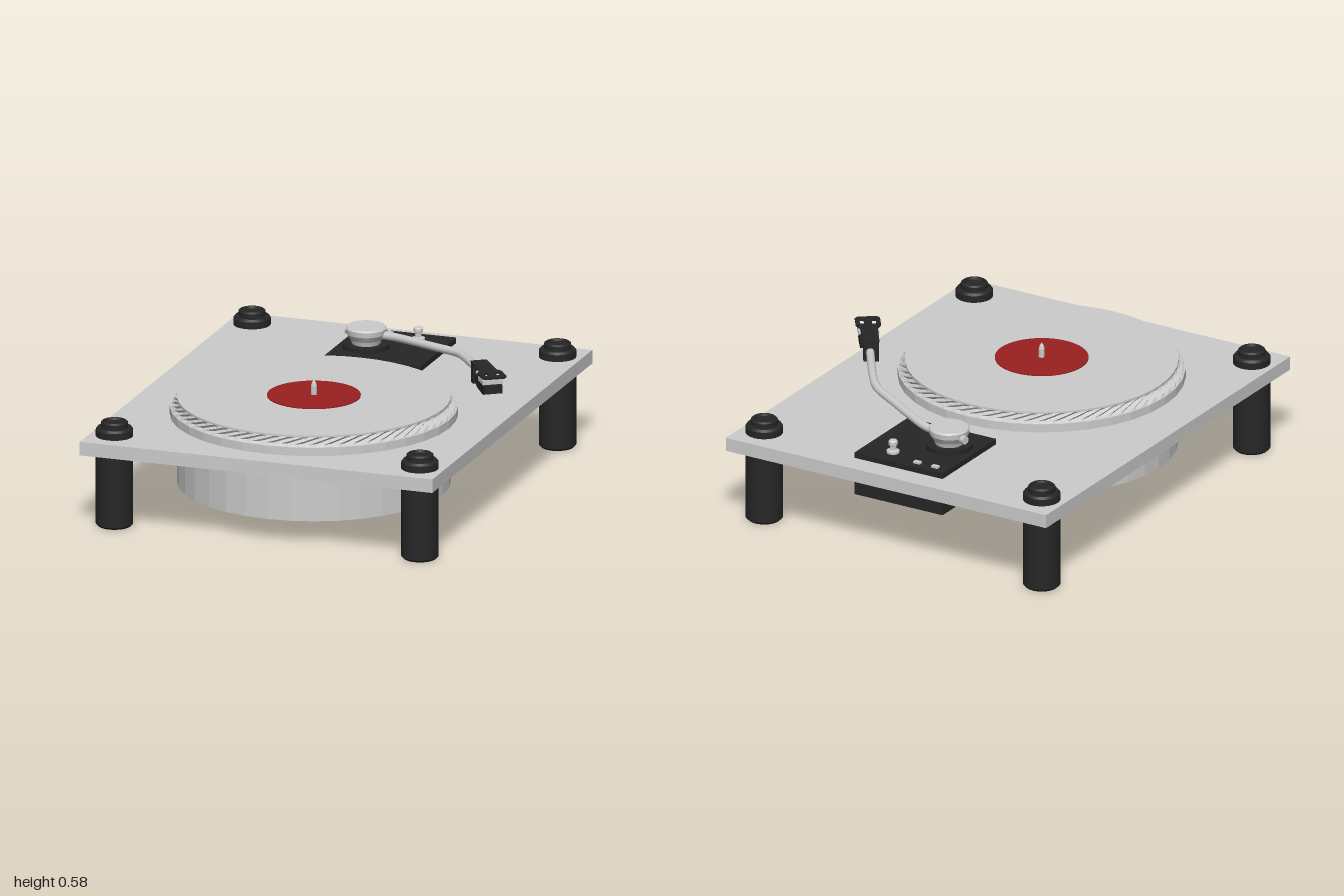
import * as THREE from 'three';

const grey = new THREE.MeshStandardMaterial({ color: 0xcccccc });
const greyFlat = new THREE.MeshStandardMaterial({ color: 0xcccccc, flatShading: true });
const black = new THREE.MeshStandardMaterial({ color: 0x262626 });
const red = new THREE.MeshStandardMaterial({ color: 0x9a2020 });

function add(parent, name, geometry, material, x = 0, y = 0, z = 0) {
  const mesh = new THREE.Mesh(geometry, material);
  mesh.name = name;
  mesh.position.set(x, y, z);
  parent.add(mesh);
  return mesh;
}

function group(parent, name, x = 0, y = 0, z = 0) {
  const g = new THREE.Group();
  g.name = name;
  g.position.set(x, y, z);
  parent.add(g);
  return g;
}

// Upright cylinder between two heights
function disc(parent, name, r, y0, y1, material, segments = 32, x = 0, z = 0, rTop = r) {
  return add(parent, name, new THREE.CylinderGeometry(rTop, r, y1 - y0, segments), material, x, (y0 + y1) / 2, z);
}

// Turned part; doubled corner points keep its edges sharp
function turned(parent, name, points, material, segments = 32) {
  const profile = [];
  points.forEach(([r, y]) => profile.push(new THREE.Vector2(r, y), new THREE.Vector2(r, y)));
  return add(parent, name, new THREE.LatheGeometry(profile, segments), material);
}

// Sloping rim whose vertices step in and out to form a diamond knurl
function knurledRim(rBottom, rTop, y0, y1) {
  const rows = 4, cols = 120;
  const geo = new THREE.CylinderGeometry(rTop, rBottom, y1 - y0, cols, rows, true);
  const p = geo.attributes.position;
  for (let i = 0; i < p.count; i++) {
    const row = Math.floor(i / (cols + 1)), col = i % (cols + 1);
    if (row === 0 || row === rows || (row + col) % 2) continue;
    const r = Math.hypot(p.getX(i), p.getZ(i)), k = (r - 0.012) / r;
    p.setX(i, p.getX(i) * k);
    p.setZ(i, p.getZ(i) * k);
  }
  return geo.translate(0, (y0 + y1) / 2, 0);
}

function addLegs(model) {
  for (const sx of [-1, 1]) for (const sz of [-1, 1]) {
    const leg = group(model, 'leg', sx * 0.693, 0, sz * 0.86);
    turned(leg, 'legPost', [[0, 0], [0.07, 0], [0.08, 0.01], [0.08, 0.34]], black);
    turned(leg, 'legCap', [[0.08, 0.40], [0.08, 0.43], [0.072, 0.44], [0.058, 0.44], [0.058, 0.46],
      [0.052, 0.466], [0.046, 0.466], [0.042, 0.456], [0, 0.456]], black);
  }
}

function addPlatter(model) {
  const platter = group(model, 'platter', 0, 0, 0.276);
  disc(platter, 'motorHousing', 0.585, 0.10, 0.32, greyFlat, 36);
  disc(platter, 'bearingRing', 0.615, 0.31, 0.437, greyFlat, 36);
  add(platter, 'knurledRim', knurledRim(0.608, 0.588, 0.437, 0.475), greyFlat);
  disc(platter, 'record', 0.585, 0.470, 0.482, grey, 48);
  disc(platter, 'label', 0.2, 0.480, 0.487, red, 48);
  turned(platter, 'spindle', [[0.013, 0.48], [0.013, 0.525], [0.009, 0.54], [0, 0.552]], grey, 16);
}

function addBase(model) {
  const base = group(model, 'tonearmBase');
  add(base, 'baseBox', new THREE.BoxGeometry(0.44, 0.193, 0.44), black, 0, 0.328, -0.677);
  for (const x of [0.14, -0.04]) {
    const rod = add(base, 'connectorRod', new THREE.CylinderGeometry(0.03, 0.03, 0.19, 20), black, x, 0.268, -0.365);
    rod.rotation.x = Math.PI / 2;
  }
  for (const x of [-0.16, -0.07]) {
    add(base, 'switch', new THREE.BoxGeometry(0.032, 0.012, 0.02), grey, x, 0.428, -0.855);
  }
  const knob = group(base, 'knob', 0.08, 0, -0.81);
  turned(knob, 'knobBody', [[0.028, 0.42], [0.028, 0.435], [0.014, 0.44], [0.014, 0.458], [0.02, 0.462],
    [0.02, 0.477], [0.015, 0.483], [0, 0.483]], grey, 20);
}

function addTonearm(model) {
  const pivot = group(model, 'pivot', -0.093, 0, -0.634);
  disc(pivot, 'pivotFoot', 0.1, 0.42, 0.444, black);
  turned(pivot, 'pivotHousing', [[0.06, 0.44], [0.068, 0.464], [0.085, 0.49], [0.088, 0.513], [0.082, 0.52], [0, 0.52]], grey);
  const stub = add(pivot, 'rearStub', new THREE.CylinderGeometry(0.018, 0.018, 0.06, 16), grey, -0.07, 0.486, -0.02);
  stub.rotation.set(0, -0.28, Math.PI / 2);

  // Bent arm tube rising towards the record's edge
  const path = new THREE.CatmullRomCurve3([
    [-0.07, 0.484, -0.645], [0.03, 0.487, -0.625], [0.14, 0.494, -0.57], [0.27, 0.503, -0.497], [0.38, 0.511, -0.435],
    [0.42, 0.515, -0.4], [0.46, 0.518, -0.35], [0.53, 0.524, -0.25], [0.60, 0.53, -0.145],
  ].map((p) => new THREE.Vector3(...p)));
  add(model, 'armTube', new THREE.TubeGeometry(path, 60, 0.018, 12), grey);

  // Headshell, built along its own +z
  const head = group(model, 'headshell', 0.594, 0.53, -0.146);
  head.rotation.y = 0.615;
  add(head, 'collarBlock', new THREE.BoxGeometry(0.066, 0.094, 0.03), black, 0, 0.003, 0.015);
  const plate = new THREE.Shape([[-0.035, 0], [0.035, 0], [0.038, 0.15], [0.054, 0.18], [0.054, 0.25],
    [0.042, 0.268], [-0.042, 0.268], [-0.054, 0.25], [-0.054, 0.18], [-0.038, 0.15]].map((p) => new THREE.Vector2(...p)));
  for (const s of [-1, 1]) {
    plate.holes.push(new THREE.Path([[-0.009, 0.19], [0.009, 0.19], [0.009, 0.235], [-0.009, 0.235]]
      .map(([x, y]) => new THREE.Vector2(x + s * 0.026, y))));
  }
  const plateGeo = new THREE.ExtrudeGeometry(plate, { depth: 0.008, bevelEnabled: false }).rotateX(Math.PI / 2);
  add(head, 'headshellPlate', plateGeo, black, 0, 0.051, 0);
  const sleeve = add(head, 'armSleeve', new THREE.CylinderGeometry(0.022, 0.022, 0.09, 16), grey, 0, 0, 0.065);
  sleeve.rotation.x = Math.PI / 2;
  add(head, 'cartridgeMount', new THREE.BoxGeometry(0.09, 0.02, 0.075), grey, 0, 0.02, 0.195);
  // Cartridge with a sloping nose
  const side = new THREE.Shape([[0.09, -0.02], [0.12, -0.032], [0.215, -0.038], [0.24, -0.03], [0.24, 0.005], [0.2, 0.015],
    [0.09, 0.02]].map((p) => new THREE.Vector2(...p)));
  const body = new THREE.ExtrudeGeometry(side, { depth: 0.08, bevelEnabled: false }).rotateY(-Math.PI / 2);
  add(head, 'cartridge', body, black, 0.04, 0, 0);
}

export function createModel() {
  const model = new THREE.Group();
  model.name = 'turntable';
  add(model, 'plinth', new THREE.BoxGeometry(1.6, 0.06, 2), grey, 0, 0.37, 0);
  addLegs(model);
  addPlatter(model);
  addBase(model);
  addTonearm(model);
  return model;
}
